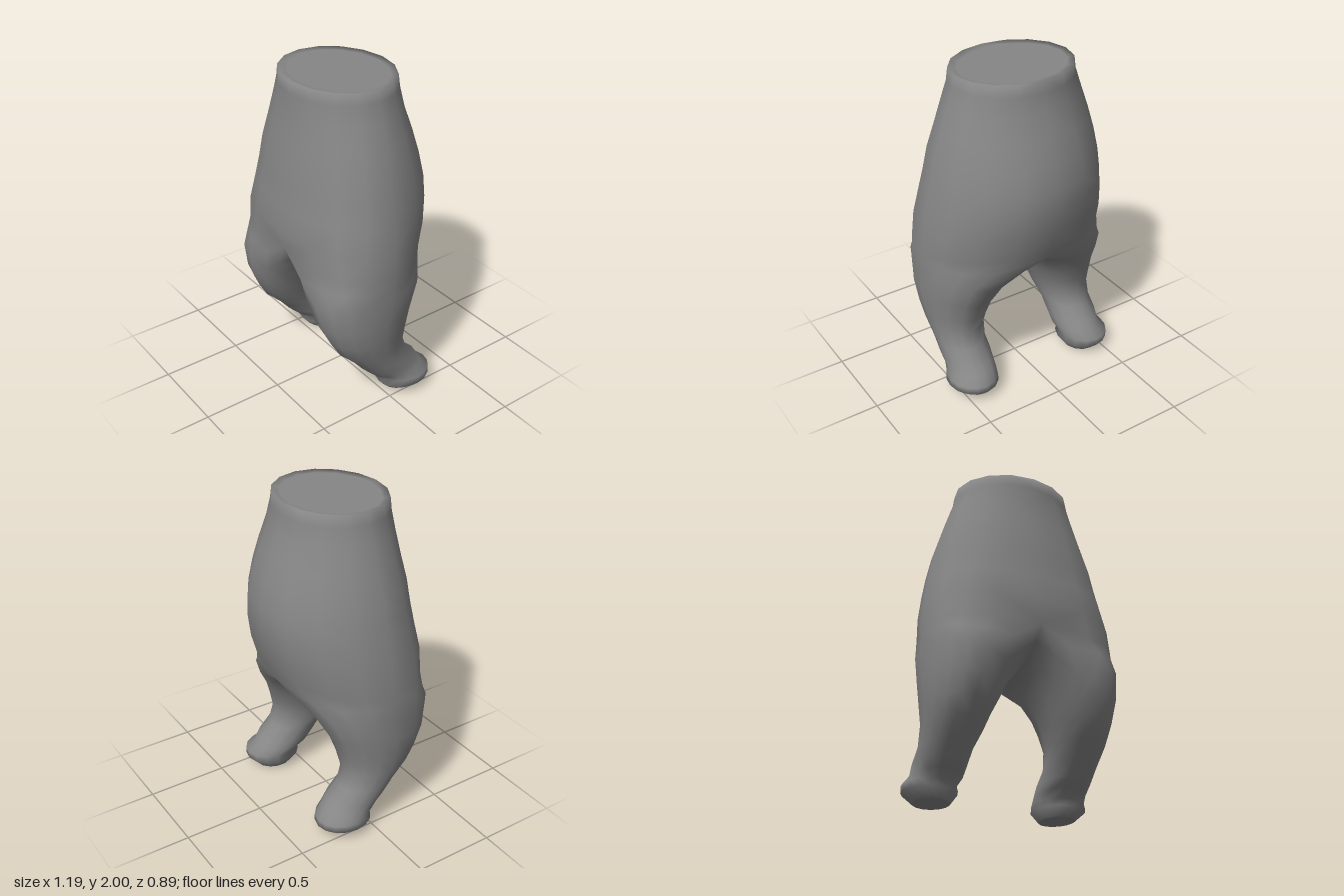
import * as THREE from 'three';
import { mergeVertices } from 'three/addons/utils/BufferGeometryUtils.js';

const SIDE = 8;   // segments from the front middle to the back middle
const INNER = 7;  // segments around the inside of each leg

const spow = (v, e) => Math.sign(v) * Math.pow(Math.abs(v), e);

// One point of a rounded section; e < 1 makes the front squarer
function sectionPoint(a, cx, rx, y, zc, zf, zb, e) {
  const s = Math.sin(a), c = Math.cos(a);
  const k = c > 0 ? e : 1;
  return new THREE.Vector3(
    cx + rx * spow(s, k),
    y,
    zc + (c > 0 ? (zf - zc) : (zc - zb)) * spow(c, k));
}

// Left half of a torso ring, front middle to back middle
function torsoRing([y, rx, zf, zb, zc, e]) {
  const ring = [];
  for (let i = 0; i <= SIDE; i++) {
    const p = sectionPoint(i * Math.PI / SIDE, 0, rx, y, zc, zf, zb, e);
    if (i === 0 || i === SIDE) p.x = 0;
    ring.push(p);
  }
  return ring;
}

// Full leg ring; its height slopes from the outer to the inner side
function legRing([yo, yi, xo, xi, zf, zb, e]) {
  const cx = (xo + xi) / 2, rx = (xo - xi) / 2, zc = (zf + zb) / 2;
  const ring = [];
  const add = (a) => {
    const p = sectionPoint(a, cx, rx, 0, zc, zf, zb, e);
    p.y = yi + (yo - yi) * (p.x - xi) / (xo - xi);
    ring.push(p);
  };
  for (let i = 0; i <= SIDE; i++) add(i * Math.PI / SIDE);
  for (let j = 1; j < INNER; j++) add(Math.PI + j * Math.PI / INNER);
  return ring;
}

// Skin between an upper and a lower ring
function strip(tris, up, low, closed) {
  const n = up.length;
  for (let i = 0; i < (closed ? n : n - 1); i++) {
    const j = (i + 1) % n;
    tris.push([low[i], low[j], up[j]], [low[i], up[j], up[i]]);
  }
}

// Flat fan over a ring
function fan(ring, centre, down) {
  return ring.map((p, i) => {
    const q = ring[(i + 1) % ring.length];
    return down ? [centre, q, p] : [centre, p, q];
  });
}

const mirrored = (tris) => tris.map(([a, b, c]) =>
  [a, c, b].map((p) => new THREE.Vector3(-p.x, p.y, p.z)));

function meshFrom(name, tris, material) {
  const geometry = mergeVertices(new THREE.BufferGeometry().setFromPoints(tris.flat()), 1e-4);
  geometry.computeVertexNormals();
  const mesh = new THREE.Mesh(geometry, material);
  mesh.name = name;
  return mesh;
}

export function createModel() {
  const group = new THREE.Group();
  group.name = 'trousers';
  const material = new THREE.MeshStandardMaterial({ color: 0x868686 });

  // Torso from the waist lip down: y, half width, front z, back z, widest z, front squareness
  const torso = [
    [1.99, 0.328, 0.295, -0.245, 0.03, 1],
    [2.0, 0.37, 0.342, -0.288, 0.03, 1],
    [1.93, 0.378, 0.345, -0.297, 0.03, 0.98],
    [1.82, 0.417, 0.352, -0.315, 0.03, 0.95],
    [1.68, 0.462, 0.372, -0.367, 0.03, 0.92],
    [1.54, 0.505, 0.395, -0.412, 0.04, 0.9],
    [1.4, 0.535, 0.41, -0.443, 0.04, 0.88],
    [1.27, 0.56, 0.425, -0.447, 0.05, 0.84],
    [1.11, 0.587, 0.447, -0.422, 0.06, 0.78],
    [0.96, 0.597, 0.43, -0.375, 0.065, 0.7],
  ].map(torsoRing);
  const hem = torso[torso.length - 1];
  hem[0].set(0, 0.98, 0.412);
  hem[SIDE].set(0, 0.92, -0.362);

  // Crotch saddle, back to front: y, z
  const crotch = [[0.855, -0.28], [0.79, -0.14], [0.77, -0.01], [0.785, 0.12], [0.825, 0.24], [0.895, 0.35]]
    .map(([y, z]) => new THREE.Vector3(0, y, z));

  // Leg and foot: outer y, inner y, outer x, inner x, front z, back z, front squareness
  const leg = [
    [0.82, 0.68, 0.597, 0.095, 0.437, -0.265, 0.85],
    [0.64, 0.57, 0.595, 0.15, 0.41, -0.19, 0.9],
    [0.5, 0.48, 0.58, 0.19, 0.36, -0.155, 0.95],
    [0.4, 0.38, 0.565, 0.225, 0.302, -0.132, 1],
    [0.29, 0.29, 0.55, 0.25, 0.2, -0.165, 1],
    [0.21, 0.21, 0.55, 0.25, 0.135, -0.25, 1],
    [0.155, 0.155, 0.545, 0.253, 0.08, -0.285, 1],
    [0.115, 0.115, 0.57, 0.265, 0.005, -0.332, 0.95],
    [0.07, 0.07, 0.573, 0.258, 0.018, -0.332, 0.95],
    [0.015, 0.01, 0.51, 0.3, -0.03, -0.275, 1],
  ].map(legRing);

  // A halfway ring eases the hips into the legs
  const hip = [...hem, ...crotch];
  const thigh = hip.map((p, i) => p.clone().lerp(leg[0][i], 0.5));

  const half = [];
  for (let i = 1; i < torso.length; i++) strip(half, torso[i - 1], torso[i], false);
  const legs = [hip, thigh, ...leg];
  for (let i = 1; i < legs.length; i++) strip(half, legs[i - 1], legs[i], true);
  group.add(meshFrom('body', [...half, ...mirrored(half)], material));

  // Flat disc inside the waist lip
  const lip = torso[0];
  const right = lip.slice(1, -1).reverse().map((p) => new THREE.Vector3(-p.x, p.y, p.z));
  group.add(meshFrom('waistCap', fan([...lip, ...right], new THREE.Vector3(0, 1.99, 0.03), false), material));

  // Flat soles
  const sole = fan(leg[leg.length - 1], new THREE.Vector3(0.405, 0.0, -0.15), true);
  group.add(meshFrom('leftSole', sole, material));
  group.add(meshFrom('rightSole', mirrored(sole), material));

  return group;
}
